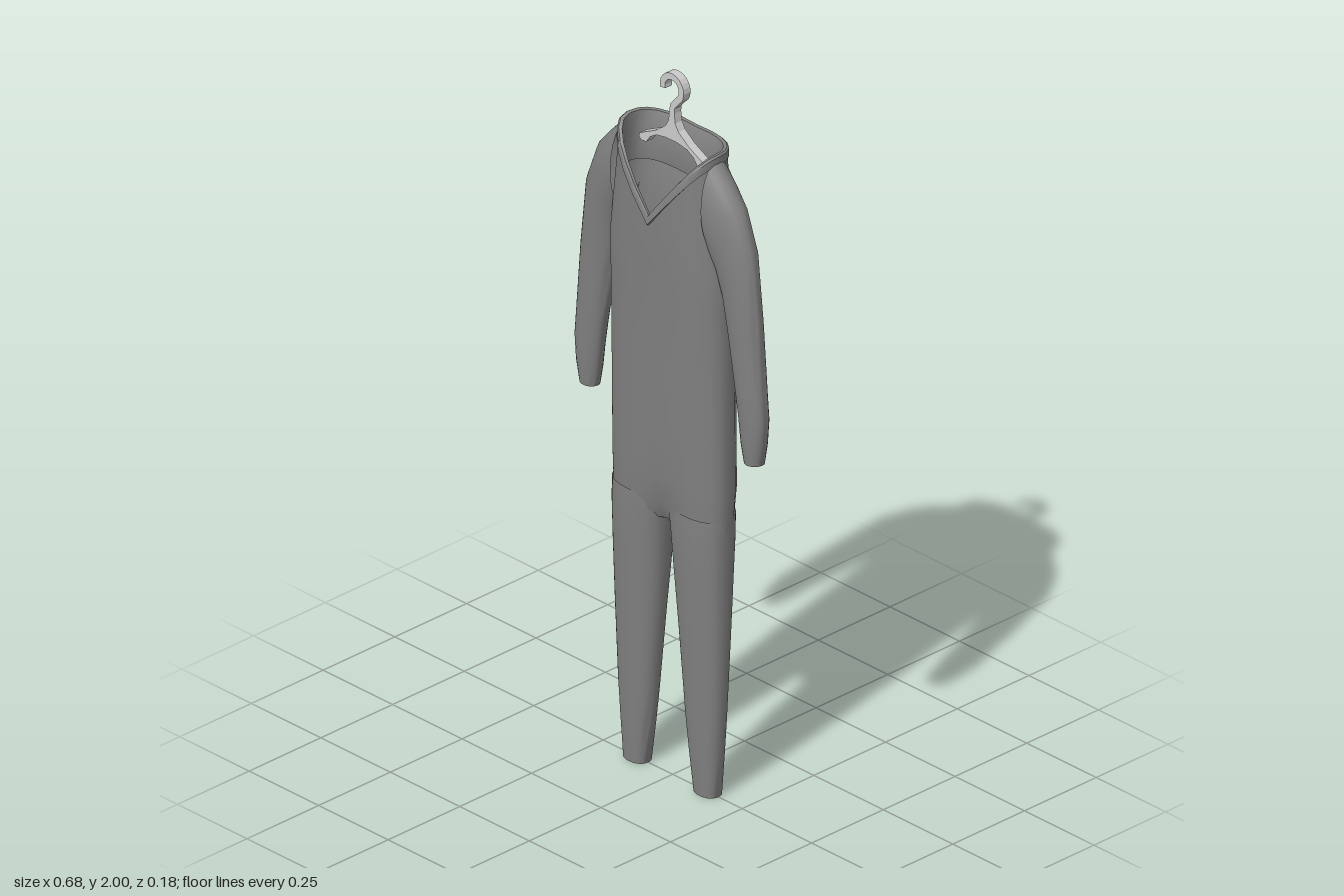
import * as THREE from 'three';
import { toCreasedNormals } from 'three/addons/utils/BufferGeometryUtils.js';

const SEG = 24;
const cloth = new THREE.MeshStandardMaterial({ color: 0x808080, side: THREE.DoubleSide });
const plain = new THREE.MeshStandardMaterial({ color: 0xcccccc });
const lerp = THREE.MathUtils.lerp;
const superPow = (v, p) => Math.sign(v) * Math.pow(Math.abs(v), 2 / p);

// Skin a list of closed rings, each made by a function of the angle (0 = front, +x next)
function loft(name, rings, crease = 0.9) {
  const pos = [], index = [];
  rings.forEach((ring, i) => {
    for (let j = 0; j < SEG; j++) {
      pos.push(...ring((j / SEG) * Math.PI * 2));
      if (i === 0) continue;
      const k = (j + 1) % SEG, a = (i - 1) * SEG, b = i * SEG;
      index.push(a + j, a + k, b + k, a + j, b + k, b + j);
    }
  });
  const geo = new THREE.BufferGeometry();
  geo.setAttribute('position', new THREE.Float32BufferAttribute(pos, 3));
  geo.setIndex(index);
  const mesh = new THREE.Mesh(toCreasedNormals(geo, crease), cloth);
  mesh.name = name;
  return mesh;
}

// Limb ring through an outer and an inner point, with front and back depth
const limbRing = (side, [ox, oy, ix, iy, zf, zb], p) => (t) => {
  const s = superPow(Math.sin(t * side), p), c = superPow(Math.cos(t), p);
  return [side * lerp(ix, ox, (s + 1) / 2), lerp(iy, oy, (s + 1) / 2), c > 0 ? c * zf : -c * zb];
};

// Body ring; pinch narrows the middle towards the crotch
const bodyRing = (y, w, zf, zb, pinch = 0) => (t) => {
  const x = w * superPow(Math.sin(t), 2.5), c = superPow(Math.cos(t), 2.5);
  const k = 1 - pinch * Math.exp(-((x / 0.05) ** 2));
  return [x, y, k * (c > 0 ? c * zf : -c * zb)];
};

// Neckline: a V at the front, nearly level round the back
const RIM = 0.16;
function rimPoint(t, scale, zf, zb, drop) {
  const x = RIM * superPow(Math.sin(t), 2.5), c = superPow(Math.cos(t), 2.5);
  const f = Math.abs(x) / RIM;
  const y = c > 0 ? 1.628 + 0.202 * f : 1.82 + 0.01 * f;
  return [x * scale, y - drop, c > 0 ? c * zf : -c * zb];
}

// Ring between the chest and the neckline
const yokeRing = (u, zb) => (t) => {
  const a = bodyRing(1.5, 0.2, 0.08, -0.082)(t);
  const b = rimPoint(t, 1, 0.085, zb, 0.01);
  return [lerp(a[0], b[0], u), lerp(a[1], b[1], u), b[2] > 0 ? lerp(a[2], b[2], u) : b[2]];
};
const rimRing = (...args) => (t) => rimPoint(t, ...args);

function makeHanger() {
  // Hook centre line, from its tip over the top and down the stem
  const line = [];
  for (let i = 0; i <= 14; i++) {
    const a = THREE.MathUtils.degToRad(lerp(195, -55, i / 14));
    line.push(new THREE.Vector2(0.034 * Math.cos(a), 1.957 + 0.034 * Math.sin(a)));
  }
  line.push(new THREE.Vector2(0.002, 1.908), new THREE.Vector2(0, 1.89));
  const left = [], right = [];
  line.forEach((p, i) => {
    const d = line[Math.min(i + 1, line.length - 1)].clone().sub(line[Math.max(i - 1, 0)]).normalize();
    const n = new THREE.Vector2(-d.y, d.x).multiplyScalar(0.009);
    left.push(p.clone().add(n));
    right.push(p.clone().sub(n));
  });

  // Shoulder bar, half outline mirrored
  const half = [[0.012, 1.862], [0.024, 1.842], [0.06, 1.815], [0.115, 1.787], [0.119, 1.778],
    [0.112, 1.768], [0.092, 1.77], [0.078, 1.79], [0.055, 1.804], [0.02, 1.81]];
  const onLeft = half.map(([x, y]) => new THREE.Vector2(x, y));
  const onRight = half.map(([x, y]) => new THREE.Vector2(-x, y)).reverse();
  const shape = new THREE.Shape([...left, ...onLeft, ...onRight, ...right.reverse()]);
  const geo = new THREE.ExtrudeGeometry(shape, { depth: 0.024, bevelEnabled: false });
  geo.translate(0, 0, -0.021);
  const mesh = new THREE.Mesh(geo, plain);
  mesh.name = 'hanger';
  return mesh;
}

export function createModel() {
  const model = new THREE.Group();
  model.name = 'hoodedSuitOnHanger';

  // Trunk from the crotch to the neckline, with the folded hood bulging at the back
  model.add(loft('body', [
    bodyRing(0.738, 0, 0, 0),
    bodyRing(0.738, 0.194, 0.058, -0.066, 0.7),
    bodyRing(0.79, 0.197, 0.062, -0.077, 0.3),
    bodyRing(0.88, 0.2, 0.064, -0.09, 0.06),
    bodyRing(1.0, 0.2, 0.066, -0.086),
    bodyRing(1.2, 0.2, 0.07, -0.085),
    bodyRing(1.4, 0.2, 0.075, -0.084),
    bodyRing(1.5, 0.2, 0.08, -0.082),
    yokeRing(0.5, -0.071),
    yokeRing(0.62, -0.088),
    yokeRing(1, -0.09),
  ]));

  // Collar hem and the hood lining that slopes inwards
  model.add(loft('collar', [
    rimRing(1.0, 0.083, -0.088, 0.03),
    rimRing(1.04, 0.09, -0.092, 0.027),
    rimRing(1.04, 0.088, -0.092, 0.004),
    rimRing(1.01, 0.085, -0.088, 0),
    rimRing(0.95, 0.078, -0.08, 0.002),
    rimRing(0.93, 0.074, -0.057, 0.05),
    rimRing(0.97, 0.074, -0.066, 0.14),
  ], 0.6));

  // Sections: outer x, y, inner x, y, front z, back z
  const arm = [
    [0.324, 1.008, 0.268, 1.005, 0.027, -0.022],
    [0.335, 1.07, 0.257, 1.06, 0.033, -0.025],
    [0.341, 1.14, 0.248, 1.13, 0.035, -0.026],
    [0.335, 1.21, 0.237, 1.2, 0.036, -0.027],
    [0.318, 1.41, 0.212, 1.35, 0.04, -0.032],
    [0.296, 1.605, 0.194, 1.44, 0.043, -0.036],
    [0.252, 1.715, 0.18, 1.5, 0.05, -0.043],
    [0.205, 1.77, 0.17, 1.53, 0.056, -0.051],
    [0.16, 1.815, 0.165, 1.56, 0.06, -0.055],
  ];
  const leg = [
    [0.165, 0, 0.088, 0, 0.03, -0.03],
    [0.174, 0.12, 0.072, 0.12, 0.036, -0.035],
    [0.181, 0.22, 0.06, 0.22, 0.04, -0.038],
    [0.19, 0.45, 0.04, 0.45, 0.048, -0.05],
    [0.194, 0.62, 0.025, 0.62, 0.056, -0.062],
    [0.196, 0.74, 0.015, 0.74, 0.061, -0.071],
    [0.195, 0.8, 0.004, 0.8, 0.06, -0.075],
  ];
  for (const [side, label] of [[1, 'left'], [-1, 'right']]) {
    model.add(loft(label + 'Sleeve', arm.map((s) => limbRing(side, s, 2))));
    model.add(loft(label + 'Leg', leg.map((s) => limbRing(side, s, 2.3))));
  }

  model.add(makeHanger());
  return model;
}
